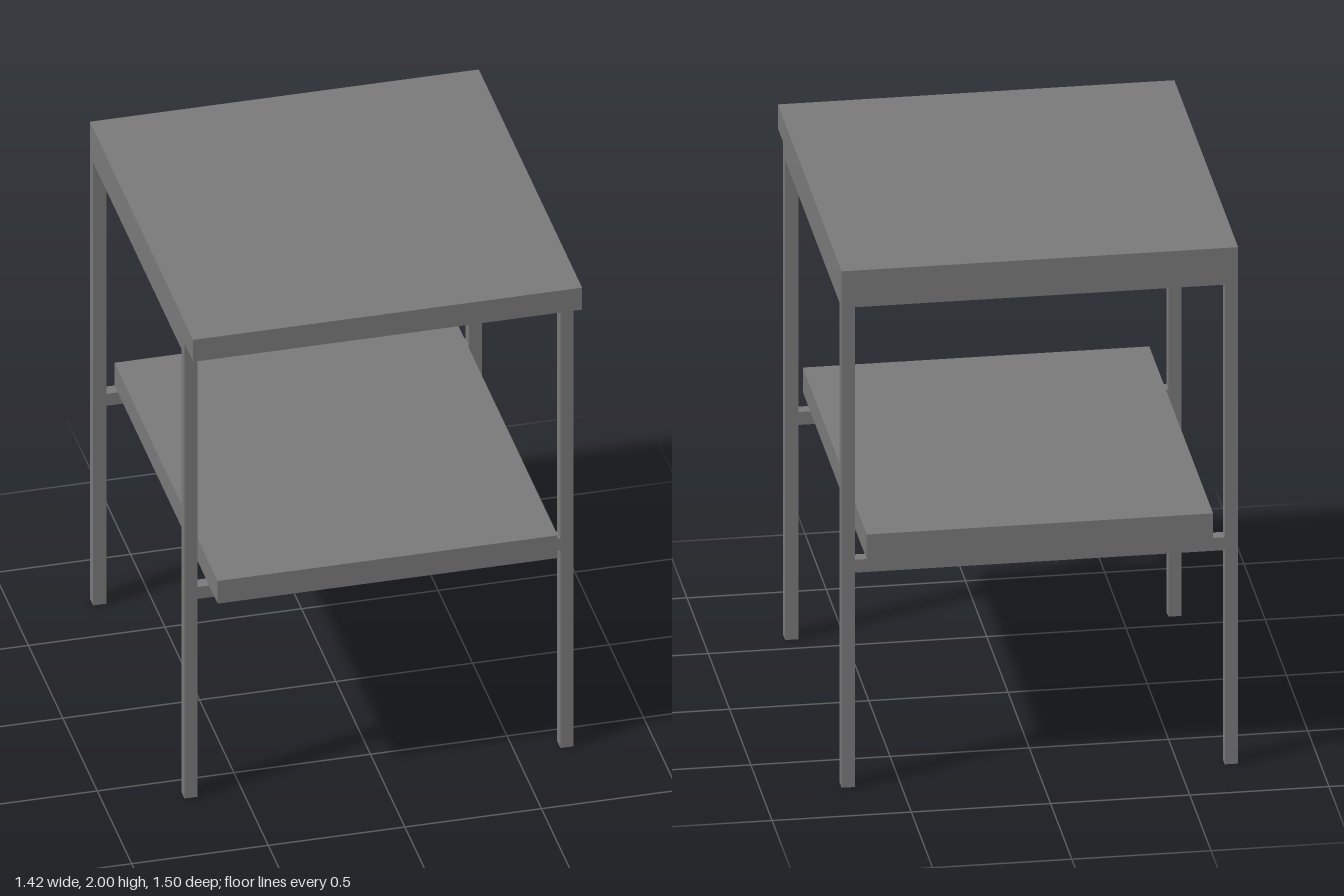
import * as THREE from 'three';

export function createModel() {
  const table = new THREE.Group();
  table.name = 'twoTierTable';

  const grey = new THREE.MeshStandardMaterial({ color: 0x7a7a7a });
  grey.name = 'grey';

  // Box given by its extents on each axis
  const box = (name, [x0, x1], [y0, y1], [z0, z1]) => {
    const mesh = new THREE.Mesh(new THREE.BoxGeometry(x1 - x0, y1 - y0, z1 - z0), grey);
    mesh.position.set((x0 + x1) / 2, (y0 + y1) / 2, (z0 + z1) / 2);
    mesh.name = name;
    table.add(mesh);
  };

  const bar = 0.048; // thickness of the legs and rails
  const halfX = 0.712, halfZ = 0.75;
  const innerX = halfX - bar;
  const frontZ = [0.577, 0.577 + bar];
  const backZ = [-halfZ, -halfZ + bar];
  const betweenZ = [backZ[1], frontZ[0]];
  const topRailY = [1.858, 1.908];
  const shelfRailY = [0.83, 0.88];
  const shelfX = 0.622;

  // Boards, both overhanging the front legs
  box('tableTop', [-halfX, halfX], [topRailY[1], 2], [-halfZ, halfZ]);
  box('shelf', [-shelfX, shelfX], [shelfRailY[1], 0.975], [-halfZ, halfZ]);

  // Legs, with the front and back rails between them
  for (const [end, z] of [['front', frontZ], ['back', backZ]]) {
    box(end + 'LegLeft', [innerX, halfX], [0, topRailY[1]], z);
    box(end + 'LegRight', [-halfX, -innerX], [0, topRailY[1]], z);
    box(end + 'TopRail', [-innerX, innerX], topRailY, z);
    box(end + 'ShelfRail', [-innerX, innerX], shelfRailY, z);
  }

  // Side rails: flush with the legs above, set in under the shelf below
  const side = (name, outer, y) => {
    box(name + 'Left', [outer - bar, outer], y, betweenZ);
    box(name + 'Right', [-outer, bar - outer], y, betweenZ);
  };
  side('topSideRail', halfX, topRailY);
  side('shelfSideRail', shelfX - bar, shelfRailY);

  return table;
}
